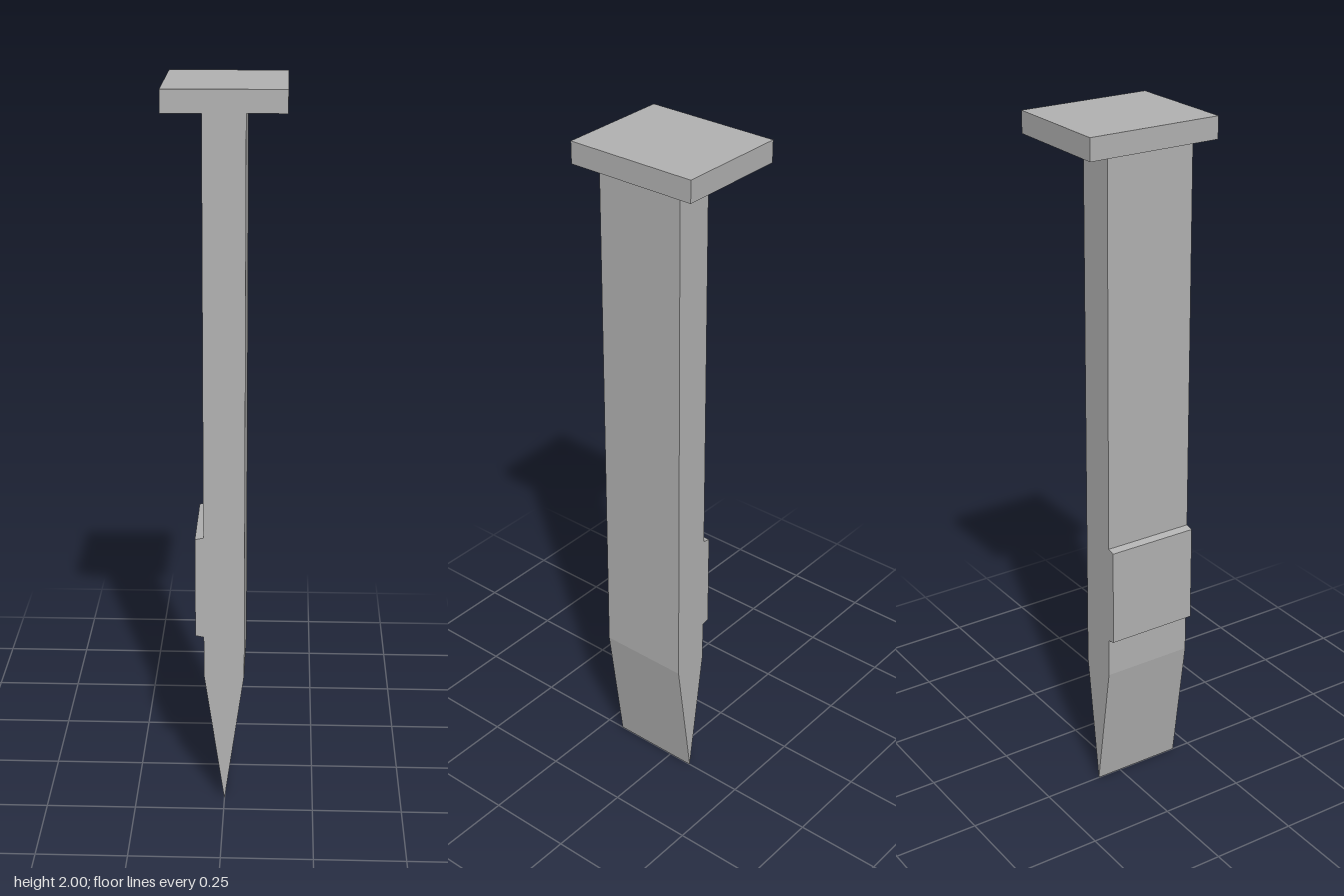
import * as THREE from 'three';

export function createModel() {
  const group = new THREE.Group();
  const steel = new THREE.MeshStandardMaterial({ color: 0xb2b2b2 });
  steel.name = 'grey steel';

  const BACK = -0.075;

  // Extrude a front-facing outline from z = back to z = front
  function addPart(name, points, back, front) {
    const shape = new THREE.Shape(points.map(([x, y]) => new THREE.Vector2(x, y)));
    const geometry = new THREE.ExtrudeGeometry(shape, { depth: front - back, bevelEnabled: false });
    geometry.translate(0, 0, back);
    const mesh = new THREE.Mesh(geometry, steel);
    mesh.name = name;
    group.add(mesh);
    return geometry;
  }

  // Shaft with wedge point and the raised pad on its -x side
  const shaft = addPart('shaft', [
    [0, 0], [0.055, 0.39], [0.055, 1.94], [-0.057, 1.94],
    [-0.057, 0.8], [-0.08, 0.795], [-0.08, 0.51], [-0.057, 0.505], [-0.057, 0.39],
  ], BACK, 0.195);

  // The front face leans back very slightly towards the top
  const p = shaft.attributes.position;
  for (let i = 0; i < p.count; i++) {
    if (p.getZ(i) > 0) p.setZ(i, 0.195 - 0.0035 * p.getY(i));
  }
  shaft.computeVertexNormals();

  // Flat rectangular head, flush with the front of the shaft
  const head = addPart('head', [
    [-0.162, 1.94], [0.16, 1.94], [0.16, 2], [-0.162, 2],
  ], -0.193, 0.188);
  const h = head.attributes.position;
  for (let i = 0; i < h.count; i++) {
    if (h.getZ(i) > 0) h.setZ(i, 0.188 - 0.012 * h.getX(i));
  }
  head.computeVertexNormals();

  return group;
}
